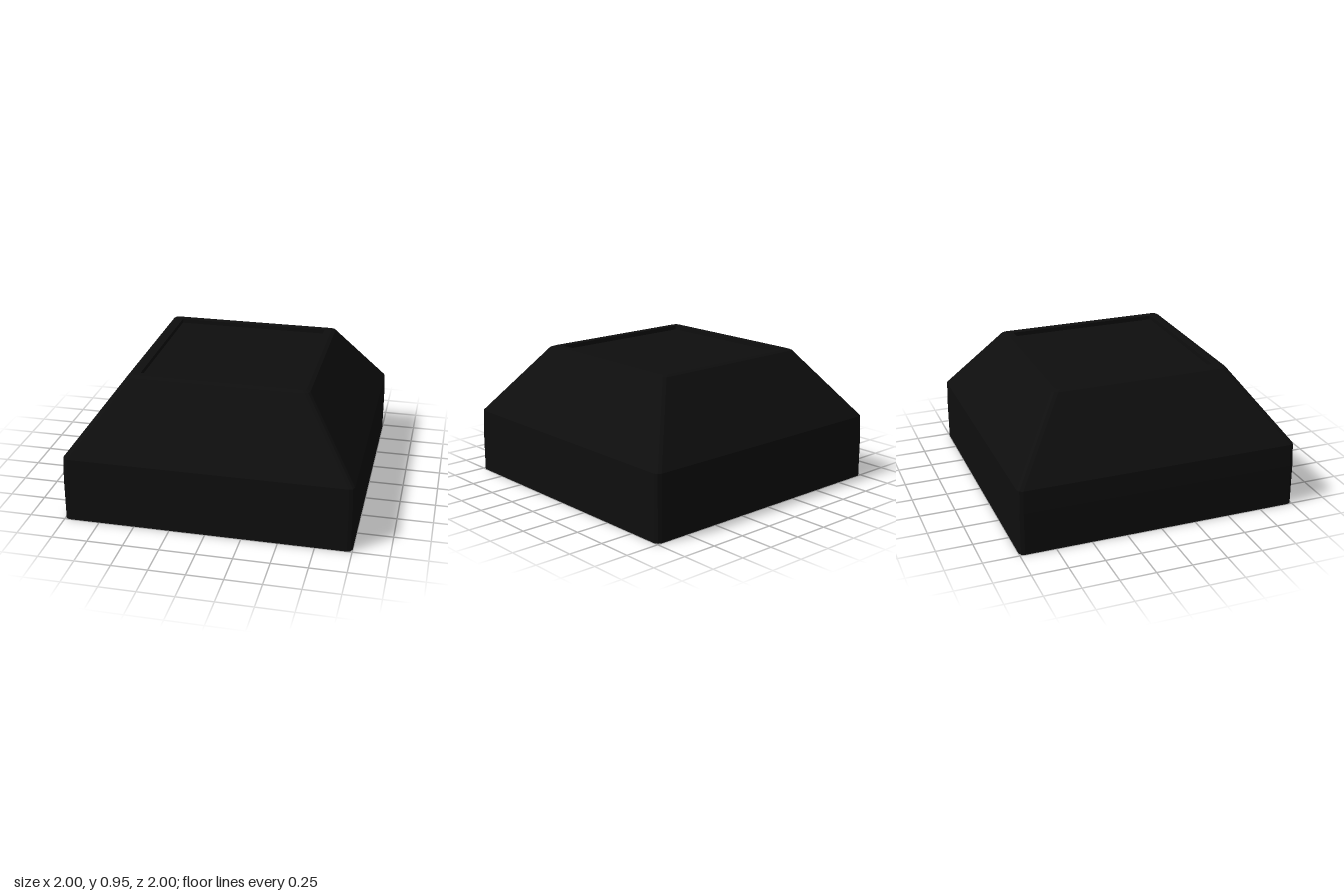
import * as THREE from 'three';

// Square ring with rounded corners: half width h, corner radius r, height y
function ring(h, y, r) {
  const points = [];
  const steps = 2;
  for (let corner = 0; corner < 4; corner++) {
    const mid = Math.PI / 4 + corner * Math.PI / 2;
    const cx = Math.sign(Math.cos(mid)) * (h - r);
    const cz = Math.sign(Math.sin(mid)) * (h - r);
    for (let s = 0; s <= steps; s++) {
      const a = corner * Math.PI / 2 + (s / steps) * Math.PI / 2;
      points.push([cx + r * Math.cos(a), y, cz + r * Math.sin(a)]);
    }
  }
  return points;
}

// Faceted surface through a list of [halfWidth, y, radius] rings
function loft(profile, capped) {
  const rings = profile.map(([h, y, r]) => ring(h, y, r));
  const n = rings[0].length;
  const positions = [];
  for (let k = 0; k < rings.length - 1; k++) {
    for (let i = 0; i < n; i++) {
      const j = (i + 1) % n;
      const a = rings[k][i], b = rings[k][j], c = rings[k + 1][i], d = rings[k + 1][j];
      positions.push(...a, ...c, ...b, ...b, ...c, ...d);
    }
  }
  if (capped) {
    const last = rings[rings.length - 1];
    for (let i = 0; i < n; i++) {
      positions.push(...last[i], 0, last[i][1], 0, ...last[(i + 1) % n]);
    }
  }
  const geometry = new THREE.BufferGeometry();
  geometry.setAttribute('position', new THREE.Float32BufferAttribute(positions, 3));
  geometry.computeVertexNormals();
  return geometry;
}

export function createModel() {
  const model = new THREE.Group();
  model.name = 'keycap';
  const black = new THREE.MeshStandardMaterial({ color: 0x0e0e0e, side: THREE.DoubleSide });
  black.name = 'black plastic';

  const add = (name, profile, capped = false) => {
    const mesh = new THREE.Mesh(loft(profile, capped), black);
    mesh.name = name;
    model.add(mesh);
  };

  // Upright lower wall, open underneath
  add('skirt', [[1, 0, 0.035], [1, 0.3, 0.035], [0.995, 0.46, 0.035]]);
  // Four sides leaning in towards the top
  add('slopedSides', [[0.995, 0.46, 0.035], [0.632, 0.945, 0.035]]);
  // Bevelled edge and flat border around the dish
  add('topRim', [[0.632, 0.945, 0.035], [0.605, 0.955, 0.03], [0.553, 0.955, 0.004]]);
  // Shallow square recess in the top
  add('topDish', [[0.553, 0.955, 0.004], [0.553, 0.925, 0.004]], true);

  return model;
}
